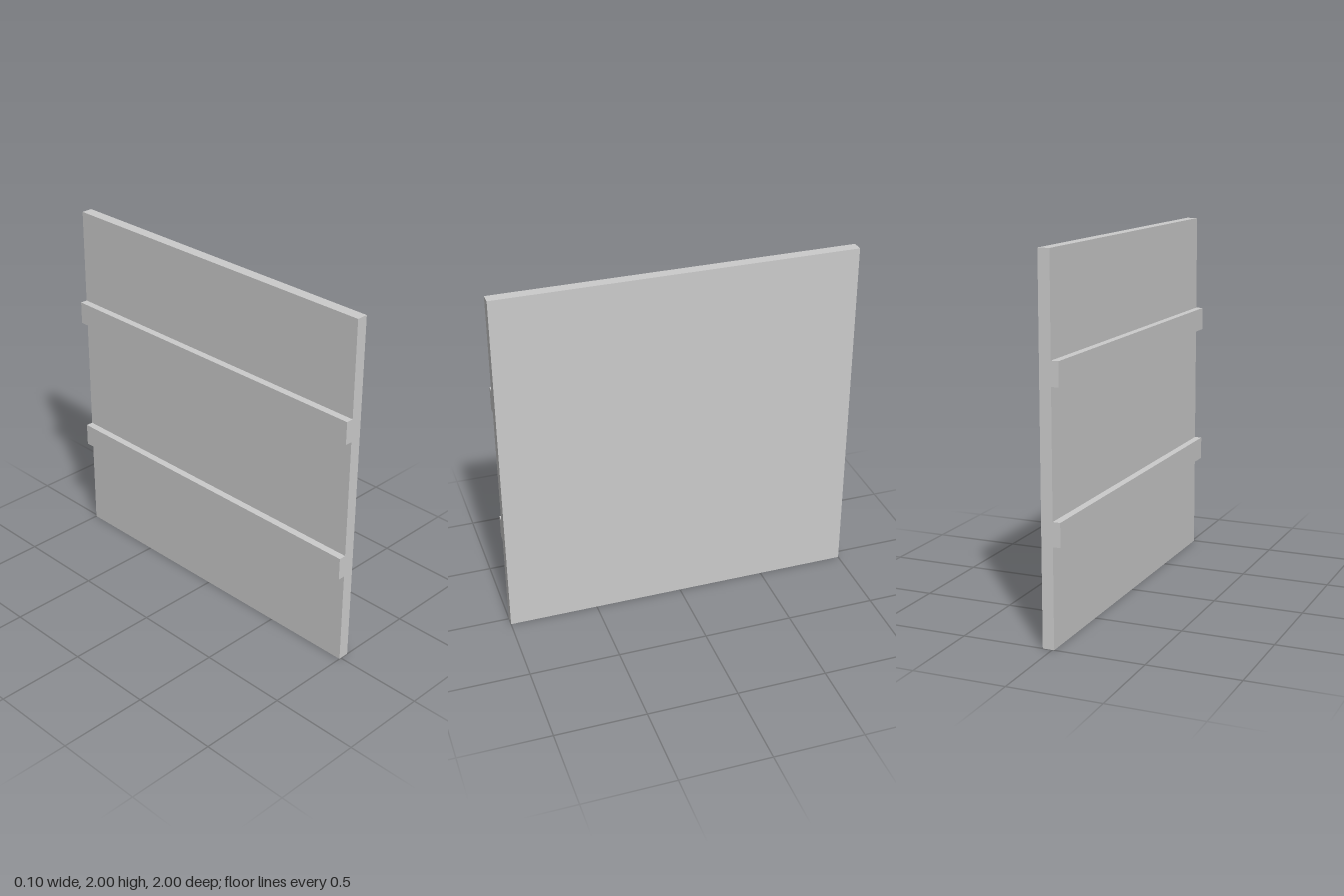
import * as THREE from 'three';

const material = new THREE.MeshStandardMaterial({ color: 0xcccccc });

// Box spanning the full depth, given its x and y extents
function slab(name, x0, x1, y0, y1) {
  const mesh = new THREE.Mesh(new THREE.BoxGeometry(x1 - x0, y1 - y0, 2), material);
  mesh.name = name;
  mesh.position.set((x0 + x1) / 2, (y0 + y1) / 2, 0);
  return mesh;
}

export function createModel() {
  const model = new THREE.Group();
  model.name = 'battenedPanel';

  // Flat square panel
  model.add(slab('panel', -0.011, 0.052, 0, 2));

  // Two horizontal battens on the right-hand face
  const railHeight = 0.128;
  [['lowerBatten', 0.6], ['upperBatten', 1.4]].forEach(([name, y]) => {
    model.add(slab(name, -0.052, -0.011, y - railHeight / 2, y + railHeight / 2));
  });

  return model;
}
